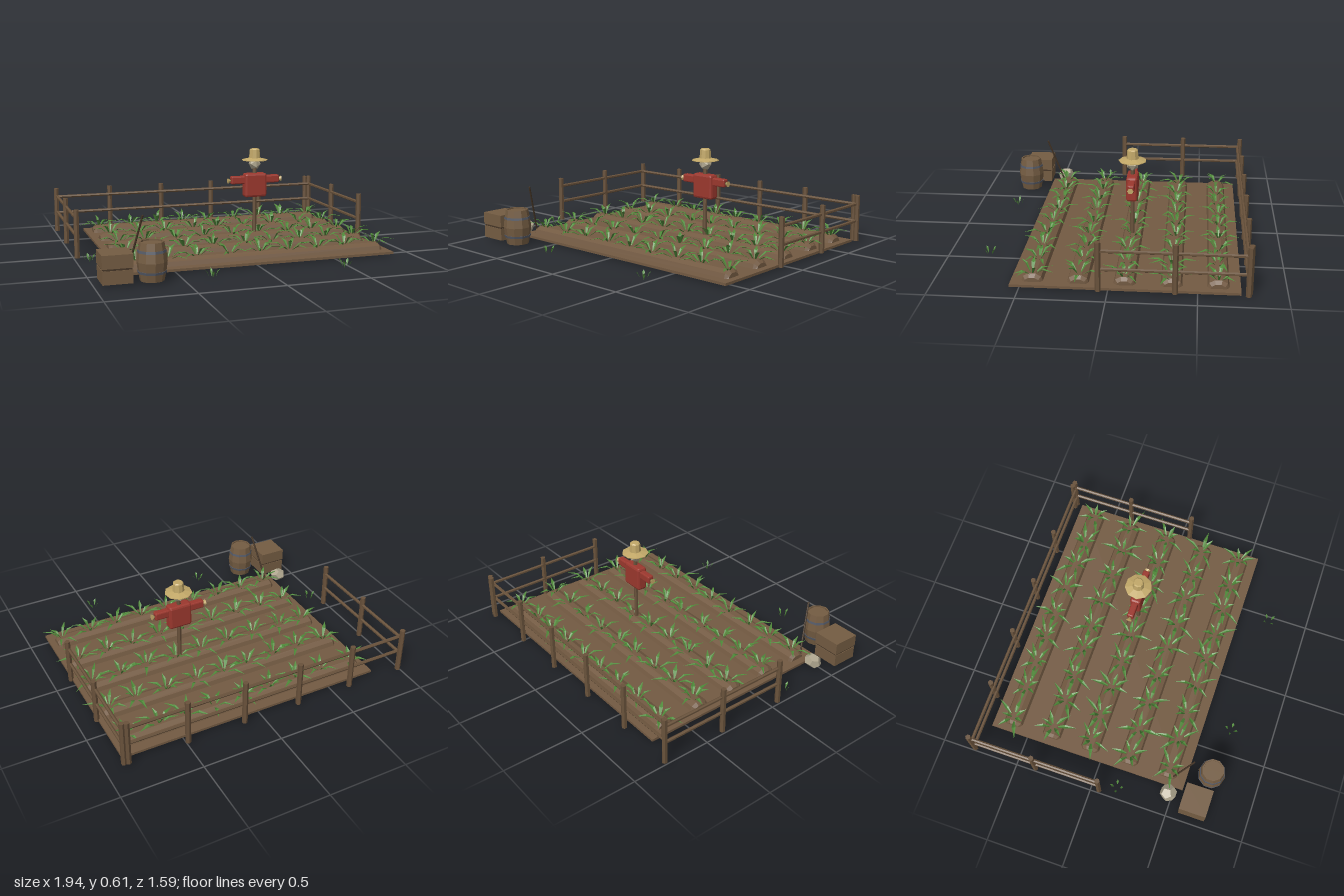
import * as THREE from 'three';
import { mergeGeometries } from 'three/addons/utils/BufferGeometryUtils.js';
import { RoundedBoxGeometry } from 'three/addons/geometries/RoundedBoxGeometry.js';

const material = (name, color, side = THREE.FrontSide) => {
  const m = new THREE.MeshStandardMaterial({ color, flatShading: true, side });
  m.name = name;
  return m;
};

export function createModel() {
  const soil = material('soil brown', 0x735a42);
  const wood = material('fence wood', 0x69523b);
  const plank = material('plank wood', 0x745c42);
  const darkWood = material('dark wood', 0x463627);
  const iron = material('iron band', 0x535864);
  const cloth = material('red cloth', 0x9c382e);
  const straw = material('straw', 0xc2a868, THREE.DoubleSide);
  const sack = material('pale sack and stone', 0xb0a78f);
  const green = material('leaf green', 0x508a3a, THREE.DoubleSide);

  const model = new THREE.Group();
  model.name = 'vegetableGarden';
  const group = (name) => {
    const g = new THREE.Group();
    g.name = name;
    model.add(g);
    return g;
  };
  const add = (parent, name, geo, mat, x = 0, y = 0, z = 0) => {
    const m = new THREE.Mesh(geo, mat);
    m.name = name;
    m.position.set(x, y, z);
    parent.add(m);
    return m;
  };
  // round bar between two points
  const bar = (parent, name, a, b, r, mat, sides = 6) => {
    const p = new THREE.Vector3(...a), q = new THREE.Vector3(...b);
    const d = q.clone().sub(p);
    const m = add(parent, name, new THREE.CylinderGeometry(r, r, d.length(), sides), mat);
    m.position.copy(p).lerp(q, 0.5);
    m.quaternion.setFromUnitVectors(new THREE.Vector3(0, 1, 0), d.normalize());
    return m;
  };
  let seed = 17;
  const rand = (lo, hi) => {
    seed = (seed * 16807) % 2147483647;
    return lo + (hi - lo) * (seed / 2147483647);
  };

  // Soil bed with raised rows
  const bed = group('soilBed');
  add(bed, 'bed', new THREE.BoxGeometry(1.695, 0.015, 1.295), soil, 0.033, 0.0155, -0.093);
  const profile = new THREE.Shape([[-0.045, 0], [0.045, 0], [0.038, 0.014], [0.016, 0.026],
    [-0.016, 0.026], [-0.038, 0.014]].map(([x, y]) => new THREE.Vector2(x, y)));
  const ridgeGeo = new THREE.ExtrudeGeometry(profile, {
    depth: 1.57, bevelEnabled: true, bevelThickness: 0.02, bevelSize: 0.018, bevelSegments: 1,
  });
  ridgeGeo.translate(0, 0, -0.785).rotateY(Math.PI / 2);
  const rows = [-0.615, -0.353, -0.09, 0.172, 0.432];
  rows.forEach((z) => add(bed, 'soilRidge', ridgeGeo, soil, 0.035, 0.022, z));

  // Arching pointed leaf with a folded midrib, growing along +x
  const leaf = (reach, rise, droop, width) => {
    const base = [0, 0, 0], tip = [reach, rise - droop, 0];
    const l = [reach * 0.5, rise * 0.92, width], r = [reach * 0.5, rise * 0.92, -width];
    const mid = [reach * 0.5, rise * 0.92 - width * 0.4, 0];
    const geo = new THREE.BufferGeometry();
    geo.setAttribute('position', new THREE.Float32BufferAttribute(
      [base, l, mid, base, mid, r, l, tip, mid, mid, tip, r].flat(), 3));
    geo.computeVertexNormals();
    return geo;
  };
  const plant = (x, y, z, count, size) => {
    const turn = rand(0, Math.PI * 2);
    return Array.from({ length: count }, (_, i) => {
      const upright = i % 3 === 0;
      const reach = size * (upright ? rand(0.07, 0.1) : rand(0.11, 0.16));
      const rise = size * (upright ? rand(0.06, 0.08) : rand(0.04, 0.06));
      const geo = leaf(reach, rise, upright ? size * -0.008 : size * 0.012, size * rand(0.009, 0.013));
      geo.rotateY(turn + (i / count) * Math.PI * 2 + rand(-0.2, 0.2));
      return geo.translate(x, y, z);
    });
  };

  // Crop rows
  const crops = group('crops');
  for (const z of rows) {
    const leaves = [];
    for (let i = 0; i < 9; i++) {
      leaves.push(...plant(-0.71 + i * 0.188 + rand(-0.015, 0.015), 0.045, z + rand(-0.01, 0.01), 7, 1));
    }
    add(crops, 'cropRow', mergeGeometries(leaves), green);
  }
  // Small weeds outside the bed
  for (const [x, z] of [[-0.93, 0.155], [-0.34, 0.73], [0.465, 0.75]]) {
    const blades = [0, 1, 2, 3].flatMap((i) => {
      const a = i * 1.6 + x * 5;
      return [leaf(0.025, 0.035, -0.008, 0.008).rotateY(a)
        .translate(x + Math.cos(a) * 0.018, 0.008, z - Math.sin(a) * 0.018)];
    });
    add(crops, 'weed', mergeGeometries(blades), green);
  }

  // Fence on three sides
  const fence = group('fence');
  const postGeo = new THREE.CylinderGeometry(0.017, 0.017, 0.295, 6);
  const post = (x, z) => add(fence, 'fencePost', postGeo, wood, x, 0.1555, z);
  for (let i = 0; i < 6; i++) post(-0.985 + i * 0.369, -0.787);
  for (const x of [-0.983, 0.886]) {
    for (const z of [-0.375, 0.053]) post(x, z);
  }
  post(0.886, -0.78);
  for (const y of [0.138, 0.248]) {
    bar(fence, 'backRail', [-0.985, y, -0.77], [0.886, y, -0.77], 0.0105, wood);
    for (const x of [-0.98, 0.882]) bar(fence, 'sideRail', [x, y, -0.79], [x, y, 0.055], 0.0105, wood);
  }

  // Scarecrow
  const scarecrow = group('scarecrow');
  scarecrow.position.set(0.205, 0, -0.09);
  bar(scarecrow, 'pole', [0, 0.03, 0], [0, 0.5, 0], 0.0135, wood);
  bar(scarecrow, 'crossbar', [-0.165, 0.41, 0], [0.165, 0.41, 0], 0.011, wood);
  add(scarecrow, 'shirt', new RoundedBoxGeometry(0.15, 0.155, 0.068, 1, 0.014), cloth, 0, 0.376, 0);
  for (const s of [-1, 1]) {
    add(scarecrow, 'sleeve', new RoundedBoxGeometry(0.115, 0.05, 0.042, 1, 0.008), cloth, s * 0.107, 0.412, 0);
    const hand = add(scarecrow, 'strawHand', new THREE.ConeGeometry(0.019, 0.028, 6), straw, s * 0.169, 0.409, 0);
    hand.rotation.z = s * Math.PI / 2;
  }
  add(scarecrow, 'head', new THREE.IcosahedronGeometry(0.04, 0), sack, 0, 0.515, 0);
  const hat = [[0, 0.612], [0.026, 0.612], [0.033, 0.605], [0.037, 0.553], [0.085, 0.541], [0.085, 0.537], [0.03, 0.545]];
  add(scarecrow, 'strawHat', new THREE.LatheGeometry(
    hat.map(([r, y]) => new THREE.Vector2(r, y)).reverse(), 9), straw);

  // Barrel with iron hoops
  const barrel = group('barrel');
  barrel.position.set(-0.675, 0, 0.697);
  const staves = [[0, 0.01], [0.068, 0.01], [0.079, 0.065], [0.086, 0.118], [0.079, 0.172],
    [0.069, 0.228], [0.061, 0.228], [0.061, 0.219], [0, 0.219]];
  add(barrel, 'staves', new THREE.LatheGeometry(staves.map(([r, y]) => new THREE.Vector2(r, y)), 10), plank);
  for (const [y, lower, upper] of [[0.06, 0.08, 0.083], [0.177, 0.082, 0.079]]) {
    add(barrel, 'hoop', new THREE.CylinderGeometry(upper, lower, 0.014, 10, 1), iron, 0, y, 0);
  }

  // Crate with a dark lid seam
  const crate = group('crate');
  crate.position.set(-0.873, 0, 0.655);
  add(crate, 'crateBase', new THREE.BoxGeometry(0.168, 0.076, 0.168), plank, 0, 0.05, 0);
  add(crate, 'lidSeam', new THREE.BoxGeometry(0.16, 0.012, 0.16), darkWood, 0, 0.094, 0);
  add(crate, 'crateLid', new THREE.BoxGeometry(0.172, 0.076, 0.172), plank, 0, 0.137, 0);

  // Stone and leaning tool handle
  const stone = add(model, 'stone', new THREE.DodecahedronGeometry(0.056, 0), sack, -0.862, 0.045, 0.475);
  stone.scale.y = 0.8;
  stone.rotation.set(0.3, 0.5, 0.2);
  bar(model, 'toolHandle', [-0.76, 0.02, 0.465], [-0.695, 0.35, 0.575], 0.006, darkWood);

  return model;
}
